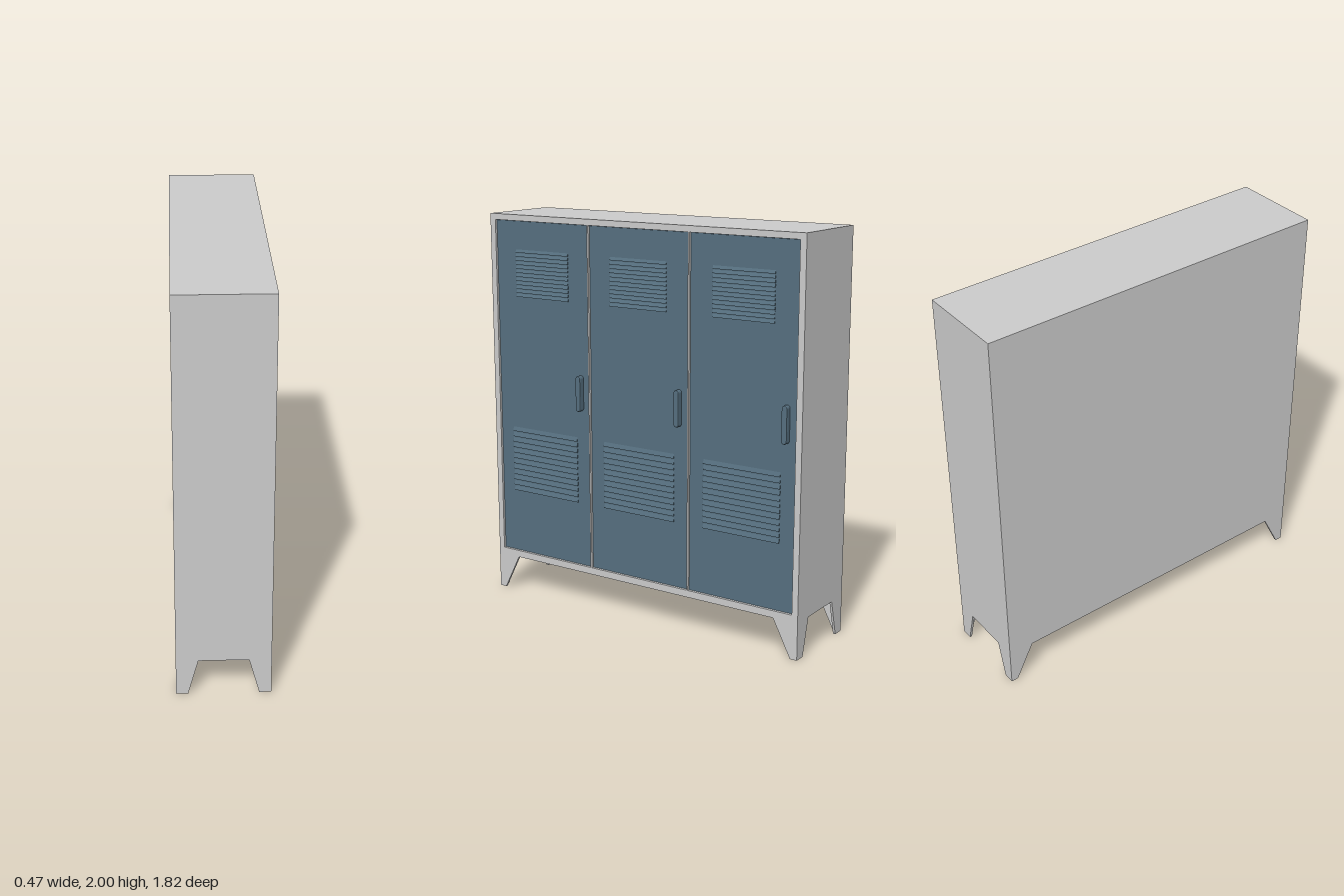
import * as THREE from 'three';

const grey = new THREE.MeshStandardMaterial({ color: 0xcccccc });
const blue = new THREE.MeshStandardMaterial({ color: 0x566f7f });
const BACK = -0.237, FRONT = 0.213, HALF = 0.91, TOP = 2, BASE = 0.185;
const DOOR_FACE = 0.203, DOOR_Y = 1.095, DOOR_H = 1.745, DOOR_W = 0.576, PITCH = 0.588;

function add(parent, name, geometry, material, x = 0, y = 0, z = 0) {
  const mesh = new THREE.Mesh(geometry, material);
  mesh.name = name;
  mesh.position.set(x, y, z);
  parent.add(mesh);
  return mesh;
}

function polygon(points) {
  return new THREE.Shape(points.map(([a, b]) => new THREE.Vector2(a, b)));
}

function rect(cx, cy, w, h) {
  return [[cx - w / 2, cy - h / 2], [cx + w / 2, cy - h / 2], [cx + w / 2, cy + h / 2], [cx - w / 2, cy + h / 2]];
}

// Extrudes a shape drawn in the z-y plane towards +x
function extrudeX(shape, depth, options = {}) {
  return new THREE.ExtrudeGeometry(shape, { depth, bevelEnabled: false, ...options }).rotateY(Math.PI / 2);
}

// Bank of sloping louvers pressed out of a door
function addLouvers(door, name, y0, y1, width, rows) {
  const bank = new THREE.Group();
  bank.name = name;
  const step = (y1 - y0) / rows, h = step * 0.75;
  const profile = polygon([[0, 0], [0.007, 0], [0, h]]);
  const geometry = new THREE.ExtrudeGeometry(profile, { depth: width, bevelEnabled: false });
  for (let i = 0; i < rows; i++) {
    add(bank, 'louver', geometry, blue, DOOR_FACE, y0 + i * step, -width / 2);
  }
  door.add(bank);
}

// Long rounded pull with a bevelled rim
function handleGeometry() {
  const r = 0.009, half = 0.076;
  const shape = new THREE.Shape();
  shape.absarc(0, half, r, 0, Math.PI);
  shape.absarc(0, -half, r, Math.PI, Math.PI * 2);
  shape.closePath();
  return extrudeX(shape, 0.022, {
    bevelEnabled: true, bevelThickness: 0.006, bevelSize: 0.006, bevelSegments: 2, curveSegments: 8,
  });
}

// Tapered corner leg folded from two plates
function makeLeg(front, side) {
  const leg = new THREE.Group();
  leg.name = 'leg';
  const t = 0.012;
  const x = front ? FRONT : BACK, sx = front ? -1 : 1;
  // Plate along the end of the cabinet
  const sidePlate = polygon([[x, 0], [x + sx * 0.057, 0], [x + sx * 0.106, BASE], [x, BASE]]);
  add(leg, 'legSidePlate', new THREE.ExtrudeGeometry(sidePlate, { depth: t, bevelEnabled: false }),
    grey, 0, 0, side > 0 ? HALF - t : -HALF);
  // Plate along the front or back (shape x becomes -z)
  const u = -side;
  const facePlate = polygon([[u * HALF, 0], [u * 0.873, 0], [u * 0.778, BASE], [u * HALF, BASE]]);
  add(leg, 'legFacePlate', extrudeX(facePlate, t), grey, front ? FRONT - t : BACK);
  return leg;
}

export function createModel() {
  const model = new THREE.Group();
  model.name = 'lockerCabinet';

  // Cabinet body
  const depth = 0.182 - BACK;
  add(model, 'cabinetBody', new THREE.BoxGeometry(depth, TOP - BASE, HALF * 2), grey,
    BACK + depth / 2, (TOP + BASE) / 2, 0);

  // Front frame with three door openings
  const frame = polygon(rect(0, (TOP + BASE) / 2, HALF * 2, TOP - BASE));
  for (const i of [-1, 0, 1]) {
    frame.holes.push(new THREE.Path(
      polygon(rect(i * PITCH, DOOR_Y, DOOR_W + 0.004, DOOR_H + 0.004)).getPoints()));
  }
  add(model, 'frontFrame', extrudeX(frame, FRONT - 0.182), grey, 0.182);

  // Doors with louvers and handles
  const doorDepth = DOOR_FACE - 0.183;
  const panel = new THREE.BoxGeometry(doorDepth, DOOR_H, DOOR_W);
  const pull = handleGeometry();
  for (const i of [1, 0, -1]) {
    const door = new THREE.Group();
    door.name = 'door';
    door.position.z = i * PITCH;
    add(door, 'doorPanel', panel, blue, DOOR_FACE - doorDepth / 2, DOOR_Y, 0);
    addLouvers(door, 'upperLouvers', 1.585, 1.83, 0.33, 12);
    addLouvers(door, 'lowerLouvers', 0.555, 0.905, 0.42, 12);
    add(door, 'handle', pull, blue, 0.209, 1.13, -0.24);
    model.add(door);
  }

  // Corner legs
  for (const front of [true, false]) {
    for (const side of [1, -1]) model.add(makeLeg(front, side));
  }
  return model;
}
